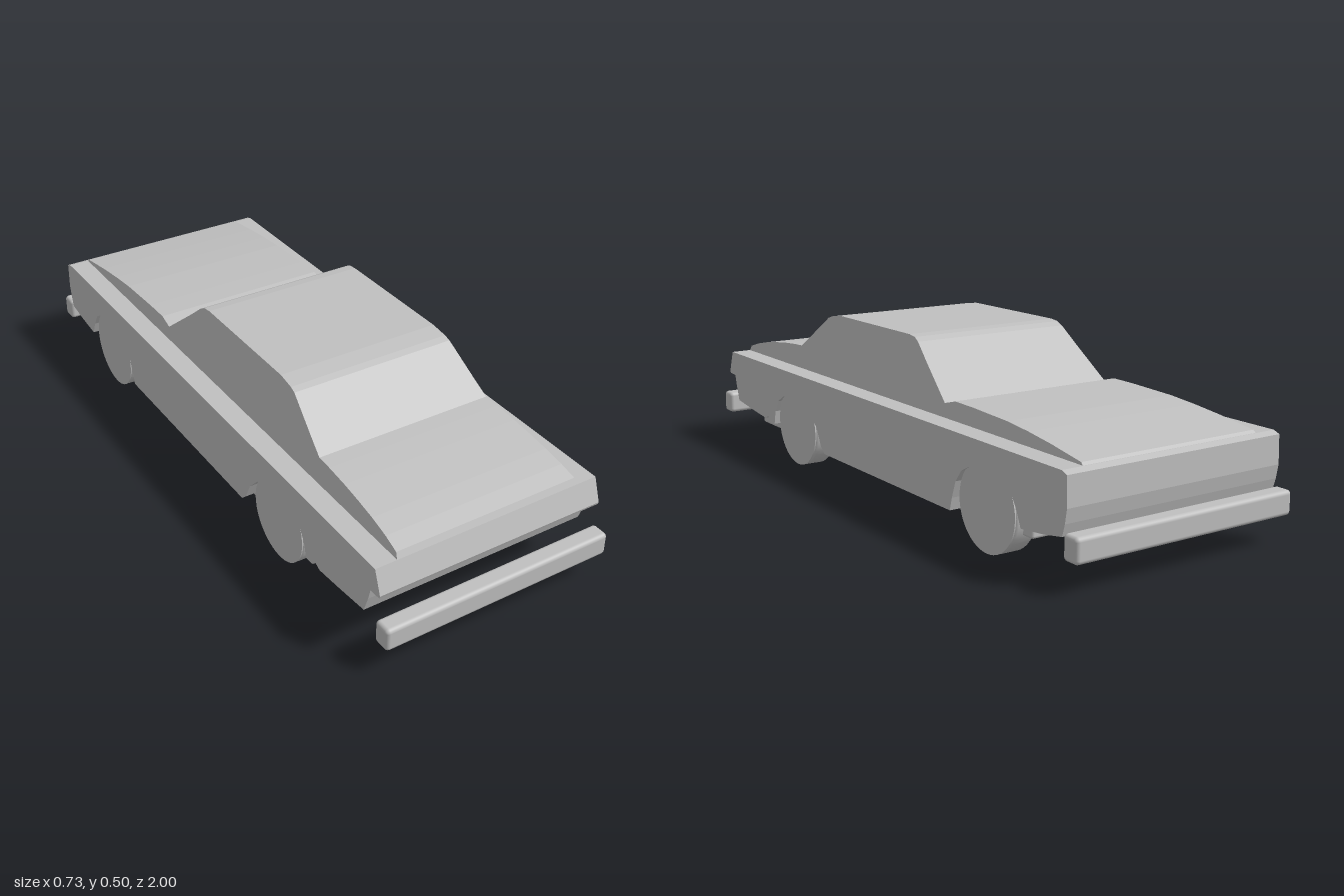
import * as THREE from 'three';
import { RoundedBoxGeometry } from 'three/addons/geometries/RoundedBoxGeometry.js';

const grey = new THREE.MeshStandardMaterial({ color: 0xc0c0c0 });
grey.name = 'plainGrey';

// Side outline in (z, y), extruded across the car and centred on x
function sideExtrusion(points, halfWidth) {
  const shape = new THREE.Shape(points.map(([z, y]) => new THREE.Vector2(z, y)));
  const geo = new THREE.ExtrudeGeometry(shape, { depth: 2 * halfWidth, bevelEnabled: false });
  geo.translate(0, 0, -halfWidth);
  geo.rotateY(-Math.PI / 2);
  return geo;
}

export function createModel() {
  const car = new THREE.Group();
  car.name = 'car';
  const add = (name, geo, x = 0, y = 0, z = 0) => {
    const mesh = new THREE.Mesh(geo, grey);
    mesh.name = name;
    mesh.position.set(x, y, z);
    car.add(mesh);
    return mesh;
  };

  // Lower body with overhanging nose and wheel arches
  add('lowerBody', sideExtrusion([
    [0.93, 0.3], [0.955, 0.23], [0.952, 0.222], [0.914, 0.22], [0.905, 0.185], [0.888, 0.135],
    [0.78, 0.122], [0.68, 0.112], [0.66, 0.122], [0.645, 0.108], [0.612, 0.105],
    [0.602, 0.15], [0.58, 0.188], [0.54, 0.211], [0.46, 0.22], [0.4, 0.213], [0.353, 0.195],
    [0.31, 0.15], [0.285, 0.098], [0.262, 0.077],
    [-0.45, 0.077], [-0.46, 0.115], [-0.478, 0.165], [-0.505, 0.2], [-0.54, 0.219],
    [-0.625, 0.227], [-0.69, 0.219], [-0.725, 0.198], [-0.752, 0.155], [-0.77, 0.112],
    [-0.86, 0.122], [-0.936, 0.136], [-0.946, 0.17], [-0.953, 0.21], [-0.95, 0.292], [-0.93, 0.3],
  ], 0.357));

  // Bonnet, cabin and boot in one shell that narrows with height
  const upper = sideExtrusion([
    [0.93, 0.298], [0.92, 0.317], [0.87, 0.332], [0.807, 0.345], [0.74, 0.355], [0.674, 0.363],
    [0.6, 0.369], [0.552, 0.371], [0.5, 0.407], [0.395, 0.482], [0.375, 0.489], [0.32, 0.497],
    [-0.09, 0.497], [-0.12, 0.493], [-0.14, 0.482], [-0.2, 0.432], [-0.316, 0.339],
    [-0.365, 0.352], [-0.45, 0.351], [-0.61, 0.345], [-0.7, 0.337], [-0.8, 0.325],
    [-0.92, 0.307], [-0.93, 0.298],
  ], 1);
  const p = upper.attributes.position;
  for (let i = 0; i < p.count; i++) {
    p.setX(i, p.getX(i) * (0.291 - 0.17 * (p.getY(i) - 0.3)));
  }
  upper.computeVertexNormals();
  add('upperBody', upper);

  // Flat pan under the body
  add('chassis', new RoundedBoxGeometry(0.64, 0.04, 1.545, 2, 0.008), 0, 0.095, 0.003);

  // Bumpers standing clear of both ends
  const bumper = new RoundedBoxGeometry(0.726, 0.07, 0.055, 4, 0.012);
  add('frontBumper', bumper, 0, 0.115, 0.9725);
  add('rearBumper', bumper, 0, 0.115, -0.9725);

  // Wheels: tyre with rounded shoulders and a thin outer disc
  const tyreProfile = [
    [0, -0.037], [0.111, -0.037], [0.12, -0.034], [0.125, -0.026],
    [0.125, 0.026], [0.12, 0.034], [0.111, 0.037], [0, 0.037],
  ].map(([r, h]) => new THREE.Vector2(r, h));
  const tyre = new THREE.LatheGeometry(tyreProfile, 48).rotateZ(Math.PI / 2);
  const disc = new THREE.CylinderGeometry(0.125, 0.125, 0.004, 48).rotateZ(Math.PI / 2);
  for (const [end, z] of [['front', 0.457], ['rear', -0.613]]) {
    for (const [side, s] of [['Left', 1], ['Right', -1]]) {
      add(end + side + 'Tyre', tyre, s * 0.311, 0.126, z);
      add(end + side + 'WheelDisc', disc, s * 0.349, 0.126, z);
    }
  }
  return car;
}
